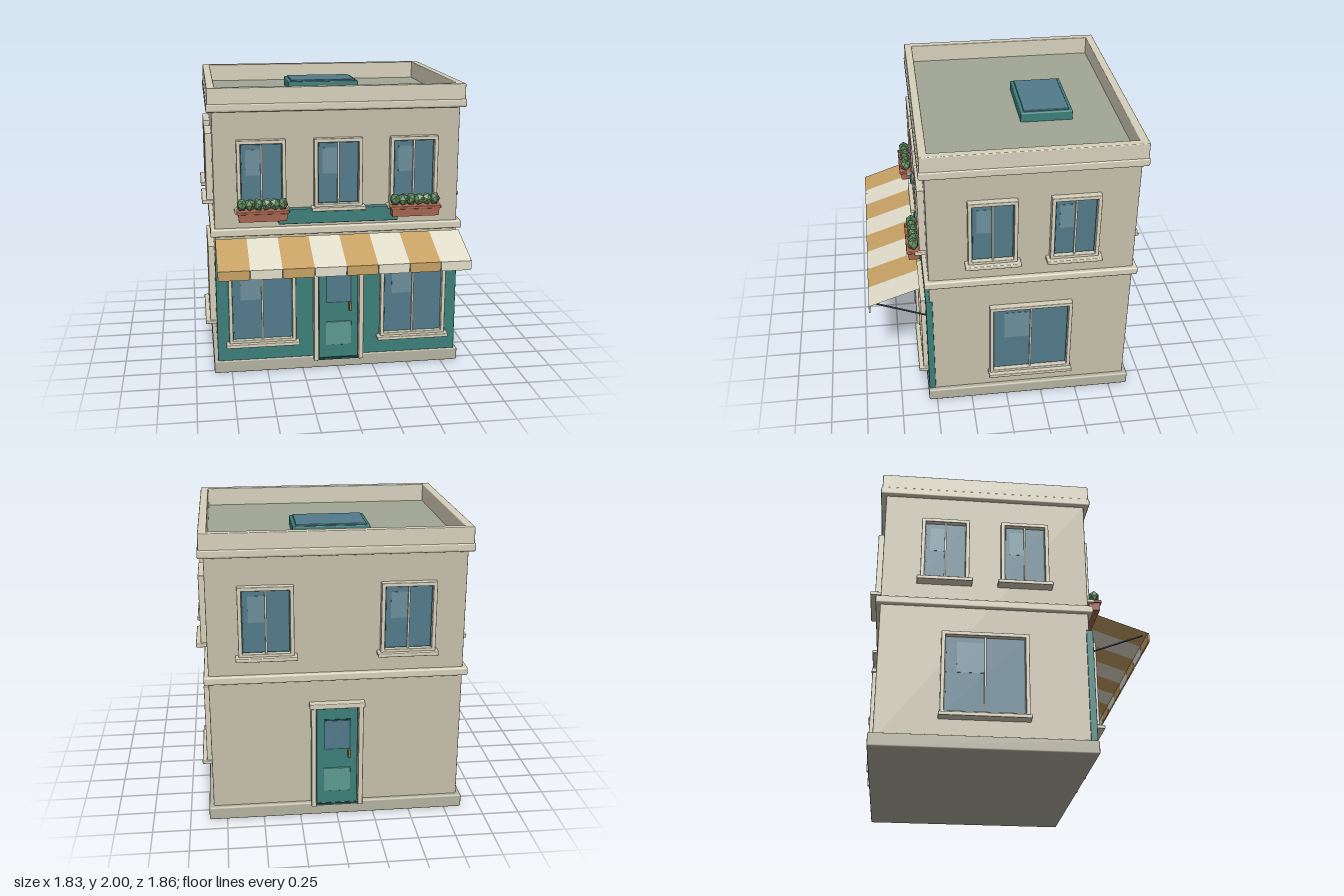
import * as THREE from 'three';
import { RoundedBoxGeometry } from 'three/addons/geometries/RoundedBoxGeometry.js';

const mat = (color, extra = {}) => new THREE.MeshStandardMaterial({ color, ...extra });
const M = {
  wall: mat(0xc6c0aa), trim: mat(0xd6d0bb), base: mat(0xb4b2a0), roof: mat(0xa2a695),
  teal: mat(0x3c7f7a), panel: mat(0x5c9a90), dark: mat(0x244a4c), glass: mat(0x527a8a),
  shine: mat(0x6c8f9b), clay: mat(0xab6650), brass: mat(0x9a7440), flower: mat(0xc48a78),
  leaf: mat(0x5d8a5c, { flatShading: true }),
  tan: mat(0xc7a265, { side: THREE.DoubleSide }), cream: mat(0xe2decb, { side: THREE.DoubleSide }),
};

// Building extents: side walls at +-WX, front and back walls at ZF and ZB
const WX = 0.84, ZF = 0.525, ZB = -0.855, ZC = (ZF + ZB) / 2;

function add(parent, name, geometry, material, x = 0, y = 0, z = 0) {
  const mesh = new THREE.Mesh(geometry, material);
  mesh.name = name;
  mesh.position.set(x, y, z);
  parent.add(mesh);
  return mesh;
}

// Box given by its extents, with a small bevel when r > 0
function box(parent, name, material, [x0, x1], [y0, y1], [z0, z1], r = 0) {
  const s = [x1 - x0, y1 - y0, z1 - z0];
  const geometry = r ? new RoundedBoxGeometry(...s, 1, r) : new THREE.BoxGeometry(...s);
  return add(parent, name, geometry, material, (x0 + x1) / 2, (y0 + y1) / 2, (z0 + z1) / 2);
}

function place(parent, group, name, x, z, turn) {
  group.name = name;
  group.position.set(x, 0, z);
  group.rotation.y = turn;
  parent.add(group);
}

// Window on a wall plane at z = 0, facing +z; w is the outer frame width
function makeWindow(w, y0, y1, sillW) {
  const g = new THREE.Group(), a = w / 2, f = 0.026, d = 0.045;
  for (const s of [-1, 1]) {
    const xs = s < 0 ? [-a, -a + f] : [a - f, a];
    box(g, 'frameSide', M.trim, xs, [y0, y1], [-0.01, d], 0.004);
  }
  box(g, 'frameTop', M.trim, [-a, a], [y1 - f, y1], [-0.01, d], 0.004);
  box(g, 'frameBottom', M.trim, [-a, a], [y0, y0 + f], [-0.01, d], 0.004);
  box(g, 'sash', M.dark, [-a + f, a - f], [y0 + f, y1 - f], [-0.01, 0.01]);
  box(g, 'glass', M.glass, [-a + f + 0.008, a - f - 0.008], [y0 + f + 0.008, y1 - f - 0.008], [0, 0.016]);
  const top = y1 - f - 0.04;
  box(g, 'reflection', M.shine, [-a * 0.64, -0.008], [top - (y1 - y0) * 0.37, top], [0.01, 0.018]);
  box(g, 'mullion', M.trim, [-0.006, 0.006], [y0 + f, y1 - f], [0, 0.03]);
  box(g, 'sill', M.trim, [-sillW / 2, sillW / 2], [y0 - 0.018, y0 + 0.008], [-0.01, 0.077], 0.006);
  return g;
}

// Door with posts, lintel, glazed top and raised lower panel
function makeDoor() {
  const g = new THREE.Group();
  for (const s of [-1, 1]) {
    const xs = s < 0 ? [-0.175, -0.142] : [0.142, 0.175];
    box(g, 'doorPost', M.trim, xs, [0.07, 0.81], [-0.01, 0.05], 0.005);
  }
  box(g, 'lintel', M.trim, [-0.185, 0.185], [0.8, 0.835], [-0.01, 0.055], 0.006);
  box(g, 'threshold', M.dark, [-0.142, 0.142], [0.07, 0.085], [-0.01, 0.035]);
  box(g, 'doorLeaf', M.teal, [-0.138, 0.138], [0.085, 0.8], [-0.01, 0.03], 0.005);
  box(g, 'doorGlassFrame', M.dark, [-0.09, 0.09], [0.495, 0.715], [0.02, 0.034]);
  box(g, 'doorGlass', M.glass, [-0.082, 0.082], [0.503, 0.707], [0.02, 0.038]);
  box(g, 'doorPanel', M.panel, [-0.09, 0.09], [0.18, 0.355], [0.02, 0.038], 0.004);
  box(g, 'doorHandle', M.brass, [0.07, 0.088], [0.44, 0.495], [0.025, 0.06], 0.004);
  return g;
}

// Tapered planter with a row of leafy clumps
function makeFlowerBox() {
  const g = new THREE.Group();
  const geo = new THREE.BoxGeometry(0.33, 0.06, 0.08), p = geo.attributes.position;
  for (let i = 0; i < p.count; i++) if (p.getY(i) < 0) p.setXYZ(i, p.getX(i) * 0.97, p.getY(i), p.getZ(i) * 0.9);
  geo.computeVertexNormals();
  add(g, 'planter', geo, M.clay, 0, 1.145, 0.08);
  box(g, 'planterRim', M.clay, [-0.175, 0.175], [1.168, 1.188], [0.035, 0.13], 0.005);
  for (let i = 0; i < 6; i++) {
    const x = -0.138 + i * 0.055;
    const leaf = add(g, 'leaves', new THREE.IcosahedronGeometry(0.042, 0), M.leaf, x, 1.227, 0.082);
    leaf.scale.set(0.85, 1.08, 0.95);
    leaf.rotation.y = i * 1.3;
    add(g, 'blossom', new THREE.IcosahedronGeometry(0.012, 0), M.flower, x + 0.02, 1.235, 0.082 + (i % 2 ? 0.034 : -0.03));
  }
  return g;
}

// Sloping striped canopy with scalloped front flaps and two struts
function makeAwning() {
  const g = new THREE.Group(), n = 8, w = 2 * WX / n;
  const back = [0.99, 0.585], front = [0.872, 0.925];
  for (let i = 0; i < n; i++) {
    const x = -WX + w * (i + 0.5), m = i % 2 ? M.cream : M.tan;
    const len = Math.hypot(back[0] - front[0], front[1] - back[1]);
    const cloth = add(g, 'awningStripe', new THREE.PlaneGeometry(w, len), m, x, (back[0] + front[0]) / 2, (back[1] + front[1]) / 2);
    cloth.rotation.x = -Math.atan2(front[1] - back[1], back[0] - front[0]);
    const a = w / 2 - 0.002, flap = new THREE.Shape();
    flap.moveTo(-a, 0.874).lineTo(-a, 0.825).quadraticCurveTo(-a, 0.81, -a + 0.015, 0.81);
    flap.lineTo(a - 0.015, 0.81).quadraticCurveTo(a, 0.81, a, 0.825).lineTo(a, 0.874);
    add(g, 'awningFlap', new THREE.ExtrudeGeometry(flap, { depth: 0.01, bevelEnabled: false, curveSegments: 4 }), m, x, 0, 0.92);
  }
  for (const s of [-1, 1]) {
    const path = new THREE.LineCurve3(new THREE.Vector3(s * 0.805, 0.735, 0.55), new THREE.Vector3(s * 0.805, 0.868, 0.89));
    add(g, 'awningStrut', new THREE.TubeGeometry(path, 1, 0.006, 8), M.dark);
  }
  return g;
}

export function createModel() {
  const model = new THREE.Group();
  model.name = 'shopBuilding';
  // Horizontal layer that overhangs the walls by o
  const layer = (name, m, o, y, r) => box(model, name, m, [-WX - o, WX + o], y, [ZB - o, ZF + o], r);

  layer('plinth', M.base, 0.031, [0, 0.092], 0.012);
  layer('walls', M.wall, 0, [0.05, 1.85], 0.01);
  layer('floorBand', M.trim, 0.03, [0.992, 1.045], 0.01);
  layer('cornice', M.trim, 0.036, [1.84, 1.868], 0.01);

  // Parapet around the flat roof
  const px = 0.868, pz0 = -0.885, pz1 = 0.555, t = 0.055;
  for (const s of [-1, 1]) {
    const side = s < 0 ? [-px, -px + t] : [px - t, px];
    const end = s < 0 ? [pz0, pz0 + t] : [pz1 - t, pz1];
    box(model, 'parapetSide', M.trim, side, [1.85, 2], [pz0, pz1], 0.006);
    box(model, 'parapetEnd', M.trim, [-px, px], [1.85, 2], end, 0.006);
    const lipX = s < 0 ? [-px - 0.008, -px + 0.03] : [px - 0.03, px + 0.008];
    const lipZ = s < 0 ? [pz0 - 0.008, pz0 + 0.03] : [pz1 - 0.03, pz1 + 0.008];
    box(model, 'corniceLip', M.trim, lipX, [1.845, 1.895], [pz0 - 0.008, pz1 + 0.008], 0.01);
    box(model, 'corniceLip', M.trim, [-px - 0.008, px + 0.008], [1.845, 1.895], lipZ, 0.01);
  }
  box(model, 'roof', M.roof, [-0.83, 0.83], [1.84, 1.875], [-0.85, 0.52]);
  box(model, 'skylightFrame', M.teal, [-0.258, 0.258], [1.87, 1.94], [-0.52, -0.165], 0.008);
  box(model, 'skylightGlass', M.glass, [-0.235, 0.235], [1.92, 1.95], [-0.497, -0.188], 0.005);

  // Shopfront
  const ZS = 0.55;
  box(model, 'shopfrontPanel', M.teal, [-0.845, 0.845], [0.09, 0.872], [ZF - 0.02, ZS], 0.004);
  place(model, makeDoor(), 'frontDoor', 0, ZS, 0);
  for (const s of [-1, 1]) {
    place(model, makeWindow(0.465, 0.222, 0.825, 0.51), 'shopWindow', s * 0.53, ZS - 0.012, 0);
    place(model, makeFlowerBox(), 'flowerBox', s * 0.52, ZF, 0);
  }
  place(model, makeAwning(), 'awning', 0, 0, 0);
  box(model, 'signBoard', M.teal, [-0.41, 0.41], [1.073, 1.175], [ZF - 0.01, 0.578], 0.006);

  // Upper windows, large side windows and back door
  for (const x of [-0.52, 0, 0.52]) place(model, makeWindow(0.33, 1.178, 1.652, 0.37), 'frontWindow', x, ZF, 0);
  for (const s of [-1, 1]) {
    const turn = s * Math.PI / 2;
    for (const z of [0.1, -0.44]) place(model, makeWindow(0.325, 1.178, 1.652, 0.37), 'sideWindow', s * WX, z, turn);
    place(model, makeWindow(0.57, 0.222, 0.8, 0.59), 'largeSideWindow', s * WX, ZC, turn);
    place(model, makeWindow(0.36, 1.178, 1.652, 0.4), 'backWindow', s * 0.46, ZB, Math.PI);
  }
  place(model, makeDoor(), 'backDoor', 0, ZB, Math.PI);
  return model;
}
